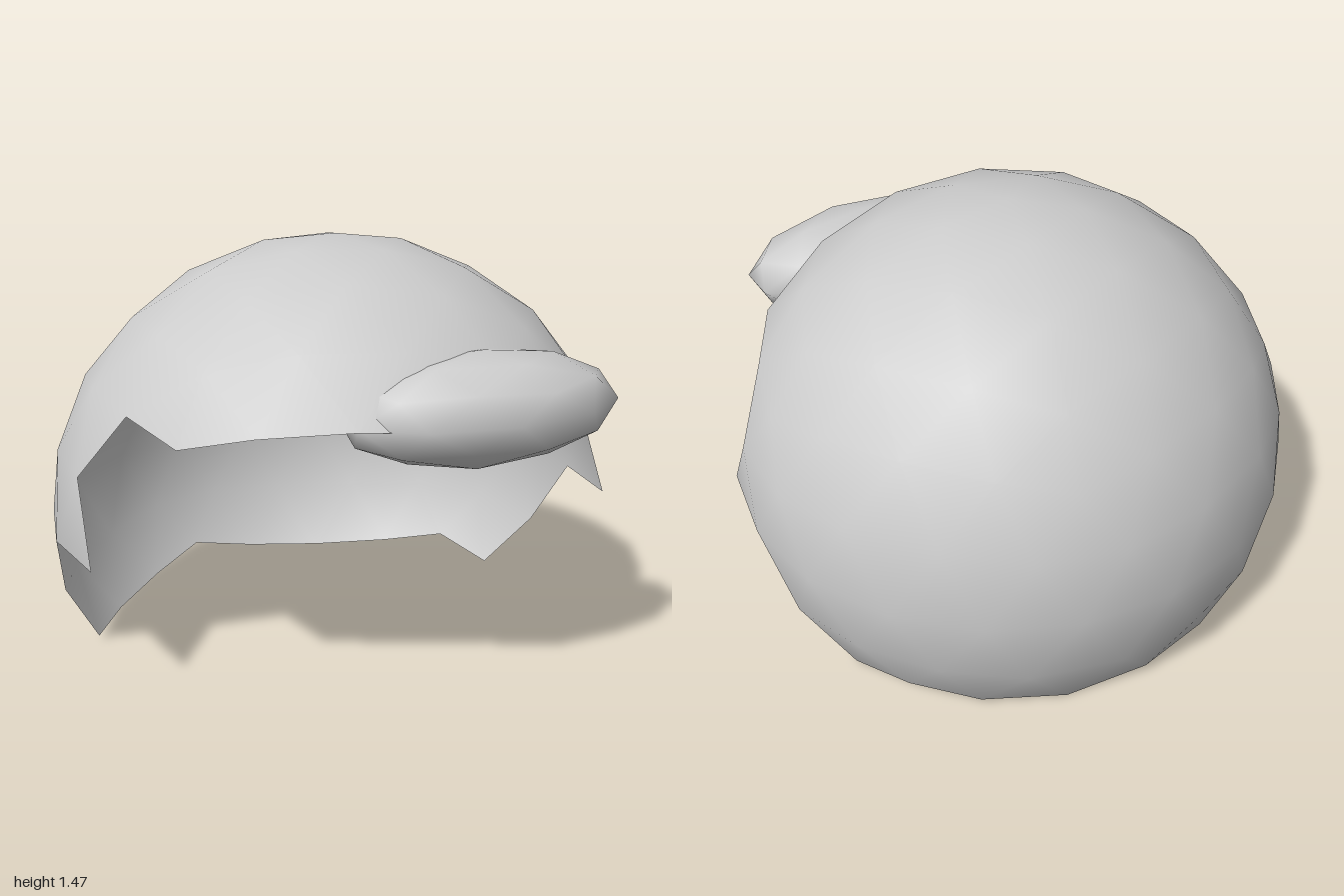
import * as THREE from 'three';

// Sphere of subdivided icosahedron faces with its poles on the y axis
function icoSphere(detail) {
  const points = [0, 1, 0, 0, -1, 0];
  const faces = [];
  const h = Math.sqrt(0.2);
  for (let k = 0; k < 5; k++) {
    const a = (k * 2 * Math.PI) / 5;
    const b = a + Math.PI / 5;
    points.push(2 * h * Math.cos(a), h, 2 * h * Math.sin(a));
    points.push(2 * h * Math.cos(b), -h, 2 * h * Math.sin(b));
    const up = 2 + 2 * k, low = up + 1;
    const nextUp = 2 + 2 * ((k + 1) % 5), nextLow = nextUp + 1;
    faces.push(0, nextUp, up, up, nextUp, low, low, nextUp, nextLow, 1, low, nextLow);
  }
  return new THREE.PolyhedronGeometry(points, faces, 1, detail);
}

// Keep only the triangles whose centre passes the test
function keepFaces(source, test) {
  const p = source.attributes.position, n = source.attributes.normal;
  const position = [], normal = [];
  for (let i = 0; i < p.count; i += 3) {
    const y = (p.getY(i) + p.getY(i + 1) + p.getY(i + 2)) / 3;
    const z = (p.getZ(i) + p.getZ(i + 1) + p.getZ(i + 2)) / 3;
    if (!test(y, z)) continue;
    for (let j = i; j < i + 3; j++) {
      position.push(p.getX(j), p.getY(j), p.getZ(j));
      normal.push(n.getX(j), n.getY(j), n.getZ(j));
    }
  }
  const g = new THREE.BufferGeometry();
  g.setAttribute('position', new THREE.Float32BufferAttribute(position, 3));
  g.setAttribute('normal', new THREE.Float32BufferAttribute(normal, 3));
  return g;
}

export function createModel() {
  const model = new THREE.Group();
  model.name = 'hair';
  const grey = new THREE.MeshStandardMaterial({ color: 0xcccccc, side: THREE.DoubleSide });
  grey.name = 'light grey';

  // Open cap: full crown, pointed sideburns, face and neck cut away
  const capShape = keepFaces(icoSphere(3), (y, z) => {
    if (y > 0.48) return true;
    if (y < -0.48) return false;
    return y > 0 ? z < 0.22 : z < -0.05 + 0.4 * y;
  });
  const cap = new THREE.Mesh(capShape.scale(1, 0.9635, 0.98), grey);
  cap.name = 'hairCap';
  cap.position.set(0, 0.5065, 0.03);

  // Tuft over the forehead, off to the left
  const tuft = new THREE.Mesh(icoSphere(1).scale(0.475, 0.18, 0.243), grey);
  tuft.name = 'fringe';
  tuft.position.set(0.2, 1.01, 0.707);

  model.add(cap, tuft);
  return model;
}
